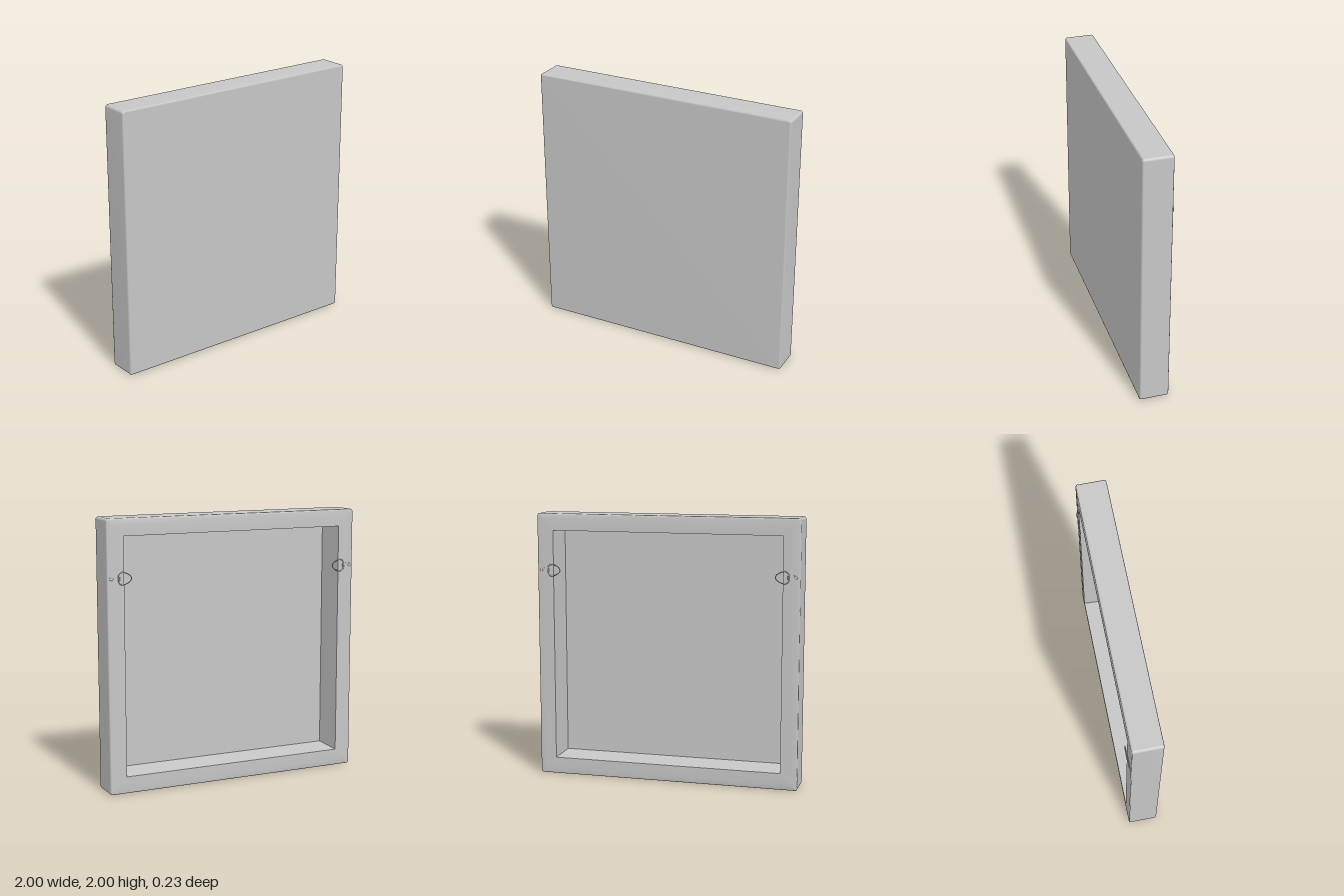
import * as THREE from 'three';

const grey = new THREE.MeshStandardMaterial({ color: 0xc6c6c6 });
grey.name = 'plain grey';

// One rounded-square cross-section, counterclockwise from the front
function ring([half, z, radius], steps = 4) {
  const points = [];
  for (let corner = 0; corner < 4; corner++) {
    const start = corner * Math.PI / 2;
    const cx = Math.sign(Math.cos(start + Math.PI / 4)) * (half - radius);
    const cy = Math.sign(Math.sin(start + Math.PI / 4)) * (half - radius);
    for (let i = 0; i <= steps; i++) {
      const a = start + i / steps * Math.PI / 2;
      points.push(cx + radius * Math.cos(a), cy + radius * Math.sin(a) + 1, z);
    }
  }
  return points;
}

// Skin a run of cross-sections given as [half size, z, corner radius]
function loft(name, sections) {
  const positions = sections.flatMap(s => ring(s));
  const n = positions.length / 3 / sections.length;
  const index = [];
  for (let s = 0; s < sections.length - 1; s++) {
    for (let j = 0; j < n; j++) {
      const a = s * n + j, b = s * n + (j + 1) % n;
      index.push(a, a + n, b, b, a + n, b + n);
    }
  }
  const geometry = new THREE.BufferGeometry();
  geometry.setAttribute('position', new THREE.Float32BufferAttribute(positions, 3));
  geometry.setIndex(index);
  geometry.computeVertexNormals();
  const mesh = new THREE.Mesh(geometry, grey);
  mesh.name = name;
  return mesh;
}

function part(name, geometry, x, y, z) {
  const mesh = new THREE.Mesh(geometry, grey);
  mesh.name = name;
  mesh.position.set(x, y, z);
  return mesh;
}

// Hanger: screwed strap, folded knuckle and wire ring, lying on the back
function createHanger(side) {
  const hanger = new THREE.Group();
  hanger.name = side > 0 ? 'leftHanger' : 'rightHanger';

  const outline = new THREE.Shape();
  outline.absarc(0.025, 0, 0.018, -Math.PI / 2, Math.PI / 2);
  outline.lineTo(-0.03, 0.013);
  outline.lineTo(-0.03, -0.013);
  const hole = new THREE.Path();
  hole.absarc(0.022, 0, 0.008, 0, Math.PI * 2, true);
  outline.holes.push(hole);
  const strap = new THREE.ExtrudeGeometry(outline, { depth: 0.004, bevelEnabled: false, curveSegments: 12 });
  hanger.add(part('strap', strap, 0, 0, -0.004));

  const screw = new THREE.SphereGeometry(0.011, 16, 6, 0, Math.PI * 2, 0, Math.PI / 2);
  screw.scale(1, 0.45, 1).rotateX(-Math.PI / 2);
  hanger.add(part('screwHead', screw, 0.022, 0, -0.003));
  hanger.add(part('knuckle', new THREE.CylinderGeometry(0.005, 0.005, 0.026, 12), -0.032, 0, -0.0045));

  const path = new THREE.CatmullRomCurve3([
    [-0.028, 0], [-0.03, 0.025], [-0.05, 0.043], [-0.085, 0.038], [-0.118, 0.018],
    [-0.125, 0], [-0.118, -0.018], [-0.085, -0.038], [-0.05, -0.043], [-0.03, -0.025],
  ].map(([x, y]) => new THREE.Vector3(x, y, 0)), true);
  hanger.add(part('wireRing', new THREE.TubeGeometry(path, 48, 0.0035, 8, true), 0, 0, -0.005));

  hanger.position.set(side * 0.945, 1.575, -0.107);
  if (side < 0) hanger.rotation.z = Math.PI;
  return hanger;
}

export function createModel() {
  const model = new THREE.Group();
  model.name = 'stretchedCanvas';

  // Canvas wrapped over the front, sides and softly rounded back border
  model.add(loft('wrappedCanvas', [
    [0, 0.117, 0], [0.985, 0.117, 0.012], [0.995, 0.114, 0.016], [1, 0.105, 0.02],
    [1, -0.092, 0.02], [0.997, -0.1, 0.018], [0.988, -0.104, 0.012],
    [0.95, -0.106, 0.006], [0.91, -0.107, 0.003], [0.873, -0.107, 0.001],
  ]));
  // Slightly tapered inner sides of the frame
  model.add(loft('innerFrameSides', [[0.873, -0.107, 0.001], [0.855, 0.107, 0.001]]));
  // Reverse of the canvas seen inside the frame
  model.add(loft('canvasReverse', [[0.855, 0.107, 0.001], [0, 0.107, 0]]));

  for (const side of [1, -1]) model.add(createHanger(side));
  return model;
}
